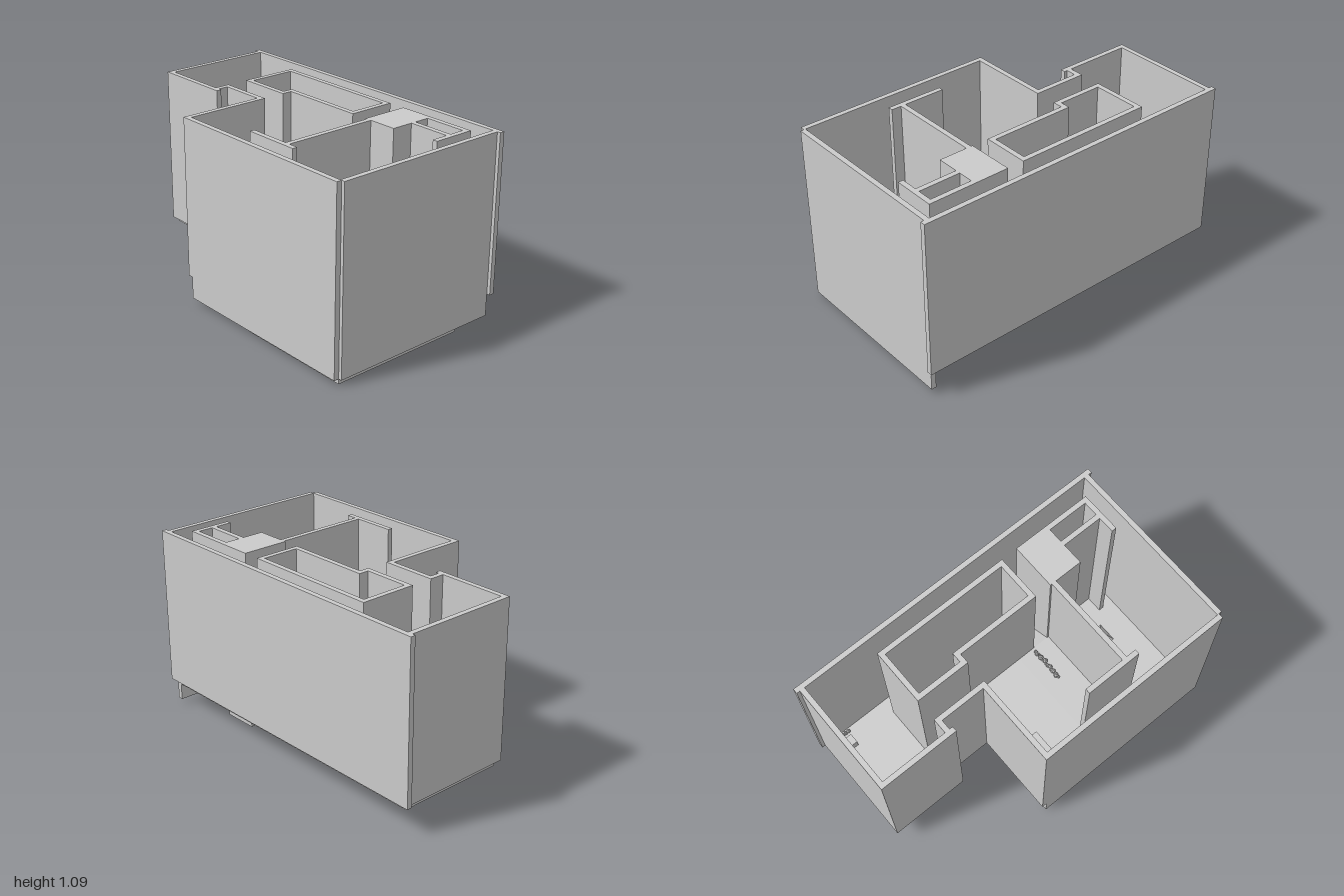
import * as THREE from 'three';

const TOP = 1.09;   // top of every wall
const LOW = 0.03;   // lower floor level
const MID = 0.16;   // hall floor level
const HIGH = 0.36;  // raised floor level
const SLAB = 0.03;  // floor thickness

export function createModel() {
  const model = new THREE.Group();
  const grey = new THREE.MeshStandardMaterial({ color: 0xcccccc, flatShading: true, side: THREE.DoubleSide });

  const add = (name, geometry) => {
    const mesh = new THREE.Mesh(geometry, grey);
    mesh.name = name;
    model.add(mesh);
    return mesh;
  };
  // Box given by its limits on each axis
  const block = (name, x0, x1, y0, y1, z0, z1) =>
    add(name, new THREE.BoxGeometry(x1 - x0, y1 - y0, z1 - z0)
      .translate((x0 + x1) / 2, (y0 + y1) / 2, (z0 + z1) / 2));
  const wall = (name, x0, x1, z0, z1, y0) => block(name, x0, x1, y0, TOP, z0, z1);
  const floor = (name, x0, x1, z0, z1, y) => block(name, x0, x1, y - SLAB, y, z0, z1);
  // Sloping slab joining two floor levels along z
  const ramp = (name, x0, x1, z0, y0, z1, y1) => {
    const side = new THREE.Shape([[z0, y0], [z0, y0 - SLAB], [z1, y1 - SLAB], [z1, y1]]
      .map(([z, y]) => new THREE.Vector2(z, y)));
    add(name, new THREE.ExtrudeGeometry(side, { depth: x1 - x0, bevelEnabled: false })
      .rotateY(-Math.PI / 2).translate(x1, 0, 0));
  };

  // Outer walls
  wall('backWall', -1, 1, -0.56, -0.53, MID);
  wall('leftEndWall', -0.98, -0.95, -0.53, 0.15, MID);
  wall('sideRoomFrontWall', -0.95, -0.5, 0.12, 0.15, MID);
  wall('sideRoomReturnWall', -0.55, -0.52, 0.03, 0.12, MID);
  wall('passageFrontWall', -0.52, -0.25, 0.03, 0.06, MID);
  wall('mainRoomSideWall', -0.25, -0.22, 0.03, 0.56, MID);
  wall('mainFrontWall', -0.22, 0.96, 0.53, 0.56, LOW);
  wall('rightEndWall', 0.95, 0.98, -0.53, 0.53, LOW);

  // Walls around the open well
  wall('wellLeftWall', -0.55, -0.52, -0.41, -0.1, MID);
  wall('wellBackWall', -0.55, 0.29, -0.44, -0.41, MID);
  wall('wellRightWall', 0.26, 0.29, -0.41, -0.16, MID);
  wall('wellFrontWall', -0.22, 0.26, -0.19, -0.16, MID);
  wall('wellStepWall', -0.25, -0.22, -0.19, -0.1, MID);
  wall('passageBackWall', -0.52, -0.25, -0.13, -0.1, MID);

  // Inner partitions and solid shaft
  wall('centrePartition', 0.4, 0.43, -0.16, 0.4, LOW);
  wall('crossPartition', 0.15, 0.49, 0.4, 0.43, LOW);
  wall('solidShaft', 0.39, 0.6, -0.44, -0.16, LOW);
  wall('ductBackWall', 0.6, 0.88, -0.44, -0.41, MID);
  wall('ductFrontWall', 0.6, 0.85, -0.32, -0.29, LOW);
  wall('ductRightWall', 0.85, 0.88, -0.41, -0.19, LOW);

  // Floors on three levels
  floor('lowerFloor', 0.25, 0.96, -0.31, 0.53, LOW);
  floor('hallFloor', -0.52, 0.95, -0.53, -0.44, MID);
  floor('sideRoomFloor', -0.96, -0.52, -0.53, 0.12, MID);
  floor('raisedRoomFloor', -0.22, 0.18, -0.16, 0.53, HIGH);
  floor('raisedLandingFloor', 0.18, 0.4, -0.16, 0.4, HIGH);

  // Ramps from the hall up to the landing and down to the lower floor
  ramp('upperRamp', 0.29, 0.39, -0.46, MID, -0.16, HIGH);
  ramp('lowerRamp', 0.88, 0.95, -0.44, MID, -0.27, LOW);

  // Furnishings
  block('raisedRoomBench', -0.13, -0.04, HIGH, HIGH + 0.05, 0.25, 0.46);
  block('lowerRoomStool', 0.46, 0.55, LOW, LOW + 0.06, 0.19, 0.28);
  block('sideRoomStool', -0.89, -0.83, MID, MID + 0.06, -0.47, -0.41);
  add('pyramid', new THREE.ConeGeometry(0.06 * Math.SQRT2, 0.1, 4)
    .rotateY(Math.PI / 4).translate(0.73, LOW + 0.05, -0.05));

  // Low irregular clutter: small jittered lumps in a row
  const clutter = (name, x, z, dx, dz, y, count) => {
    const group = new THREE.Group();
    group.name = name;
    for (let i = 0; i < count; i++) {
      const t = i / (count - 1), size = 0.012 + 0.005 * Math.sin(i * 2.7);
      const lump = new THREE.Mesh(new THREE.IcosahedronGeometry(size, 0), grey);
      lump.name = 'lump';
      lump.position.set(x + dx * t + 0.005 * Math.sin(i * 4.1), y + size * 0.8, z + dz * t);
      lump.rotation.set(i, i * 1.7, 0);
      group.add(lump);
    }
    model.add(group);
  };
  clutter('landingClutter', 0.28, -0.13, 0, 0.2, HIGH, 14);
  clutter('cornerClutter', -0.94, -0.51, 0.11, 0, MID, 9);

  return model;
}
